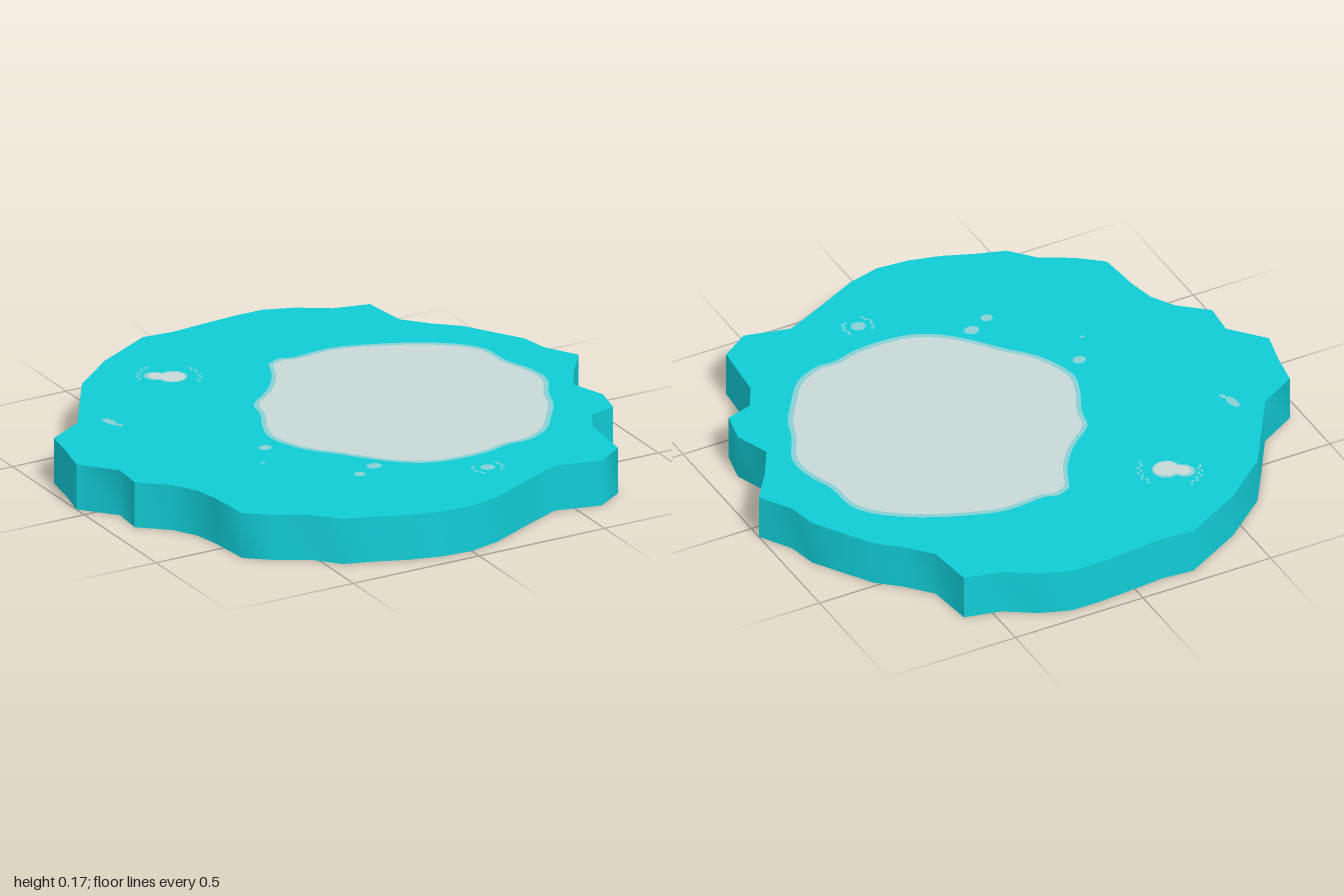
import * as THREE from 'three';
import { toCreasedNormals } from 'three/addons/utils/BufferGeometryUtils.js';

const H = 0.168;

// Coastline as x, z pairs, clockwise seen from above
const COAST = [
  -1, -.055, -.97, -.18, -.95, -.3, -.81, -.38, -.71, -.54, -.62, -.68, -.45, -.82, -.23, -.94,
  -.11, -.93, 0, -.94, .14, -.95, .25, -.95, .36, -.91, .47, -.84, .6, -.81, .62, -.64,
  .7, -.55, .78, -.48, .85, -.37, .91, -.275, .93, -.17, 1, -.055, .915, .06, .85, .17,
  .895, .295, .87, .41, .77, .44, .72, .53, .7, .745, .595, .815, .43, .775, .285, .84,
  .12, .92, 0, .95, -.115, .94, -.23, .91, -.34, .865, -.445, .83, -.52, .745, -.635, .68,
  -.72, .61, -.735, .45, -.755, .355, -.805, .27, -.905, .185, -.895, .065,
];

// Large pale patch as x, z pairs
const PATCH = [
  .025, -.51, .08, -.535, .135, -.52, .28, -.53, .42, -.49, .565, -.425, .68, -.345, .745, -.255,
  .755, -.13, .79, -.025, .795, .085, .735, .2, .7, .295, .635, .39, .565, .48, .47, .53,
  .39, .53, .295, .555, .19, .56, .08, .545, -.01, .495, -.09, .415, -.165, .32, -.25, .22,
  -.3, .085, -.28, -.015, -.225, -.13, -.2, -.22, -.105, -.3, -.025, -.4,
];

const toPoints = (a) => Array.from({ length: a.length / 2 }, (_, i) => new THREE.Vector2(a[2 * i], -a[2 * i + 1]));

const scaled = (pts, s, cx, cy) => pts.map((p) => new THREE.Vector2(cx + (p.x - cx) * s, cy + (p.y - cy) * s));

function flat(name, shape, y, material) {
  const mesh = new THREE.Mesh(new THREE.ShapeGeometry(shape).rotateX(-Math.PI / 2), material);
  mesh.position.y = y;
  mesh.name = name;
  return mesh;
}

// Open band of wall below the coastline
function wallGeometry(pts) {
  const v = [];
  pts.forEach((a, i) => {
    const b = pts[(i + 1) % pts.length];
    const a0 = [a.x, 0, -a.y], a1 = [a.x, H, -a.y], b0 = [b.x, 0, -b.y], b1 = [b.x, H, -b.y];
    v.push(...a0, ...a1, ...b1, ...a0, ...b1, ...b0);
  });
  const g = new THREE.BufferGeometry();
  g.setAttribute('position', new THREE.Float32BufferAttribute(v, 3));
  return toCreasedNormals(g, 0.9);
}

export function createModel() {
  const group = new THREE.Group();
  const mat = (name, color) => {
    const m = new THREE.MeshStandardMaterial({ color, side: THREE.DoubleSide });
    m.name = name;
    return m;
  };
  const teal = mat('teal', 0x11ccd6);
  const grey = mat('paleGrey', 0xc8d9d7);
  const rim = mat('paleTeal', 0x89d0d5);

  // Hollow slab: top sheet and side wall, open underneath
  const coast = toPoints(COAST);
  group.add(flat('topSheet', new THREE.Shape(coast), H, teal));
  const wall = new THREE.Mesh(wallGeometry(coast), teal);
  wall.name = 'sideWall';
  group.add(wall);

  // Large patch: grey middle with a narrow rim around it
  const curve = new THREE.SplineCurve([...toPoints(PATCH), toPoints(PATCH)[0]]);
  const outer = curve.getPoints(90).slice(0, -1);
  const inner = scaled(outer, 0.965, 0.25, -0.02);
  const ring = new THREE.Shape(outer);
  ring.holes.push(new THREE.Path(inner));
  group.add(flat('patchRim', ring, H + 0.002, rim));
  group.add(flat('patchMiddle', new THREE.Shape(inner), H + 0.002, grey));

  // Small oval spots: x, z, radii, turn
  const spot = (name, x, z, rx, rz, turn, material, lift = 0.002) => {
    const s = new THREE.Shape();
    s.absellipse(0, 0, rx, rz, 0, Math.PI * 2, false, turn);
    const m = flat(name, s, H + lift, material);
    m.position.x = x;
    m.position.z = z;
    group.add(m);
  };
  [
    [-.71, -.33, .016, .036, .15],
    [-.695, -.285, .008, .015, .3],
    [-.36, .14, .024, .021, 0],
    [-.195, .51, .021, .019, 0],
    [-.115, .47, .027, .023, 0],
    [.22, .675, .026, .024, 0],
    [-.435, .255, .008, .006, 0],
    [-.37, -.61, .035, .04, .6],
    [-.32, -.575, .052, .05, .2],
  ].forEach((s) => spot('smallSpot', ...s, rim));
  spot('doubleSpotSmall', -.365, -.605, .027, .032, .6, grey, 0.003);
  spot('doubleSpotLarge', -.32, -.572, .044, .042, .2, grey, 0.003);

  // Broken arcs of specks around two of the spots
  const specks = (x, z, r, from, to, n) => {
    for (let i = 0; i < n; i++) {
      const a = from + ((to - from) * i) / (n - 1);
      const d = r * (i % 2 ? 0.9 : 1);
      spot('speck', x + d * Math.cos(a), z + d * Math.sin(a), .004, .008, -a, rim);
    }
  };
  specks(-.335, -.595, .1, 3.3, 4.5, 9);
  specks(-.32, -.575, .1, -.4, .9, 9);
  specks(.22, .675, .055, -.5, .8, 6);
  specks(.22, .675, .055, 2.3, 3.8, 6);

  return group;
}
